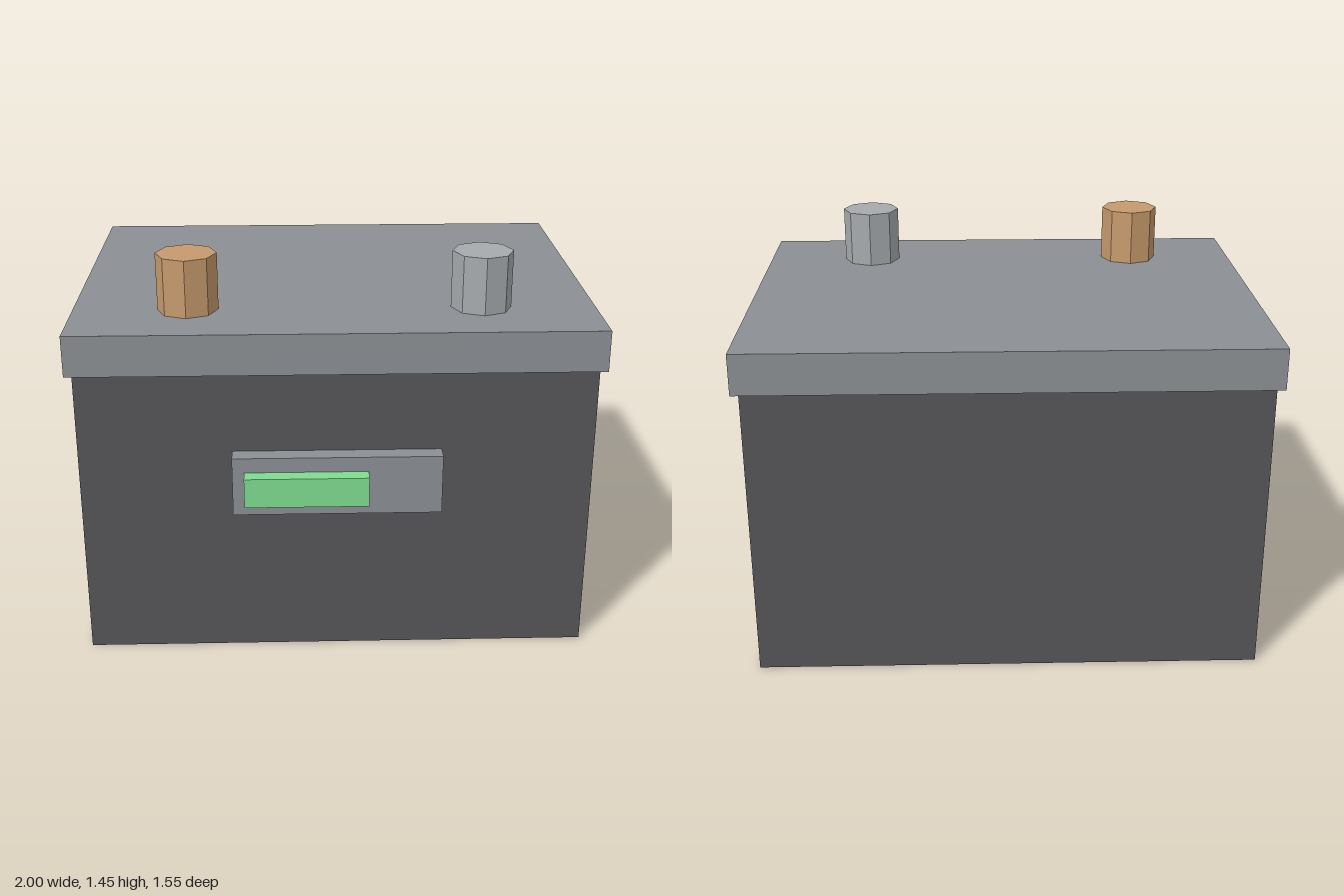
import * as THREE from 'three';

const material = (color) => new THREE.MeshStandardMaterial({ color, flatShading: true });

// Box given by its extents along each axis
function box(name, mat, [x0, x1], [y0, y1], [z0, z1]) {
  const mesh = new THREE.Mesh(new THREE.BoxGeometry(x1 - x0, y1 - y0, z1 - z0), mat);
  mesh.position.set((x0 + x1) / 2, (y0 + y1) / 2, (z0 + z1) / 2);
  mesh.name = name;
  return mesh;
}

// Eight-sided post standing on the lid
function terminal(name, mat, x) {
  const mesh = new THREE.Mesh(new THREE.CylinderGeometry(0.11, 0.11, 0.21, 8), mat);
  mesh.position.set(x, 1.345, 0.39);
  mesh.name = name;
  return mesh;
}

export function createModel() {
  const model = new THREE.Group();
  model.name = 'battery';

  const dark = material(0x565658);
  const grey = material(0x8b8f93);
  const silver = material(0xa6aaad);
  const copper = material(0xc69a6c);
  const green = material(0x7edc90);

  // Case and overhanging lid
  model.add(box('case', dark, [-0.92, 0.92], [0, 1.09], [-0.75, 0.655]));
  model.add(box('lid', grey, [-0.945, 0.945], [1.09, 1.24], [-0.775, 0.675]));

  // Terminals
  model.add(terminal('rightTerminal', copper, -0.53));
  model.add(terminal('leftTerminal', silver, 0.53));

  // Charge gauge on the front
  model.add(box('gaugePlate', grey, [-0.373, 0.373], [0.575, 0.795], [0.645, 0.72]));
  model.add(box('gaugeBar', green, [-0.33, 0.11], [0.63, 0.74], [0.71, 0.775]));

  // Side handles
  model.add(box('leftHandle', grey, [0.91, 1], [0.805, 0.912], [-0.225, 0.128]));
  model.add(box('rightHandle', grey, [-1, -0.91], [0.805, 0.912], [-0.225, 0.128]));

  return model;
}
